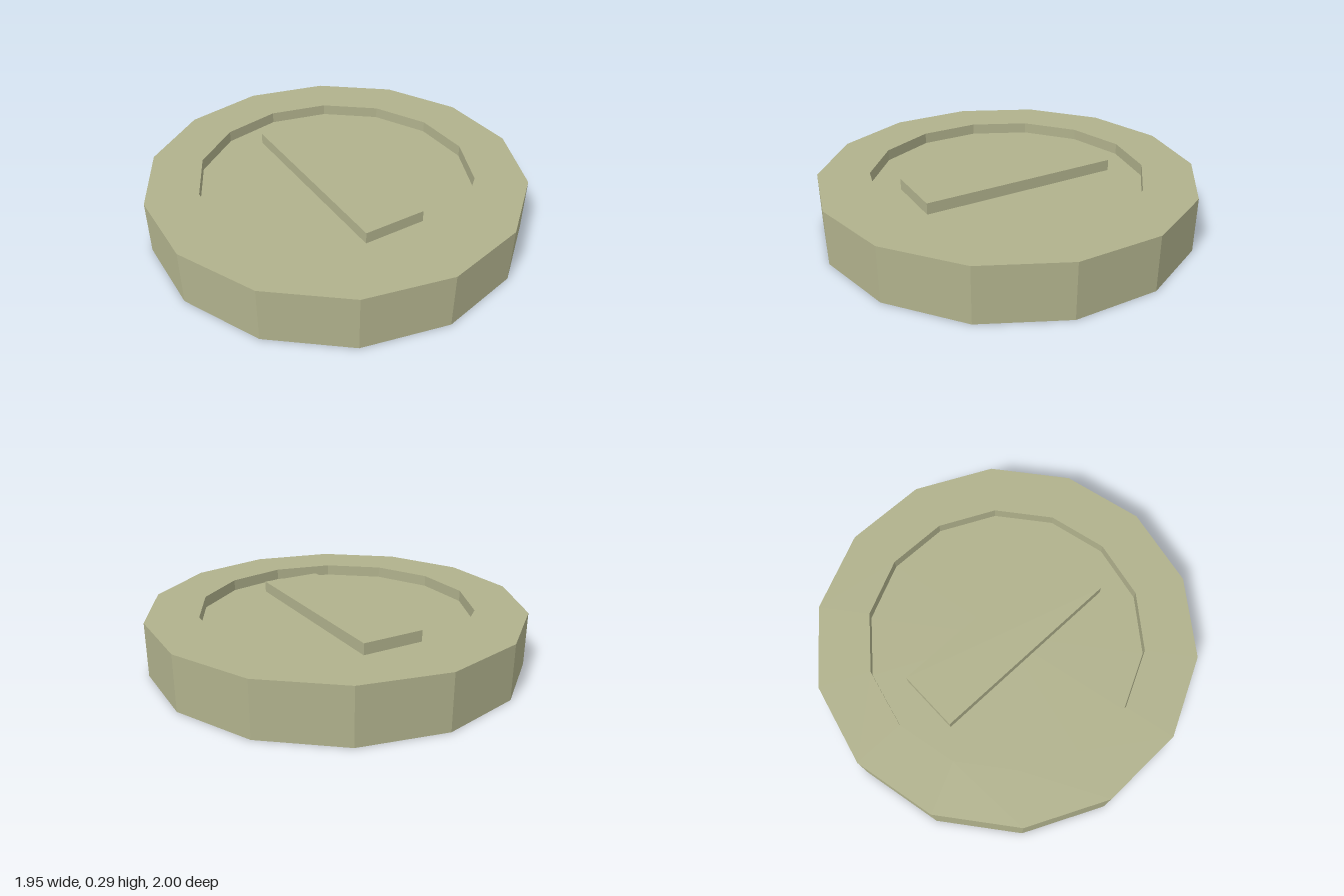
import * as THREE from 'three';

const SIDES = 14;
const HEIGHT = 0.288;
const RECESS = 0.06; // depth of the sunken face on both sides
const INNER = 0.727; // inner radius of the raised rim

export function createModel() {
  const coin = new THREE.Group();
  coin.name = 'coin';
  const metal = new THREE.MeshStandardMaterial({ color: 0xb0b18c, flatShading: true });
  metal.name = 'dull khaki metal';

  // Turns a closed profile into a faceted solid
  const turned = (name, points) => {
    const profile = points.map(([r, y]) => new THREE.Vector2(r, y));
    const geometry = new THREE.LatheGeometry(profile, SIDES).toNonIndexed();
    geometry.computeVertexNormals();
    const mesh = new THREE.Mesh(geometry, metal);
    mesh.name = name;
    coin.add(mesh);
  };

  // Raised outer rim, with the short walls down to both recesses
  turned('rim', [
    [INNER, RECESS], [INNER, 0], [1, 0],
    [1, HEIGHT], [INNER, HEIGHT], [INNER, HEIGHT - RECESS],
  ]);

  // Sunken face and raised bar on each side
  turned('bottomFace', [[0, RECESS], [INNER, RECESS]]);
  turned('topFace', [[INNER, HEIGHT - RECESS], [0, HEIGHT - RECESS]]);
  for (const [name, y] of [['bottomBar', RECESS / 2], ['topBar', HEIGHT - RECESS / 2]]) {
    const bar = new THREE.Mesh(new THREE.BoxGeometry(0.334, RECESS, 1.086), metal);
    bar.name = name;
    bar.position.y = y;
    coin.add(bar);
  }

  return coin;
}
